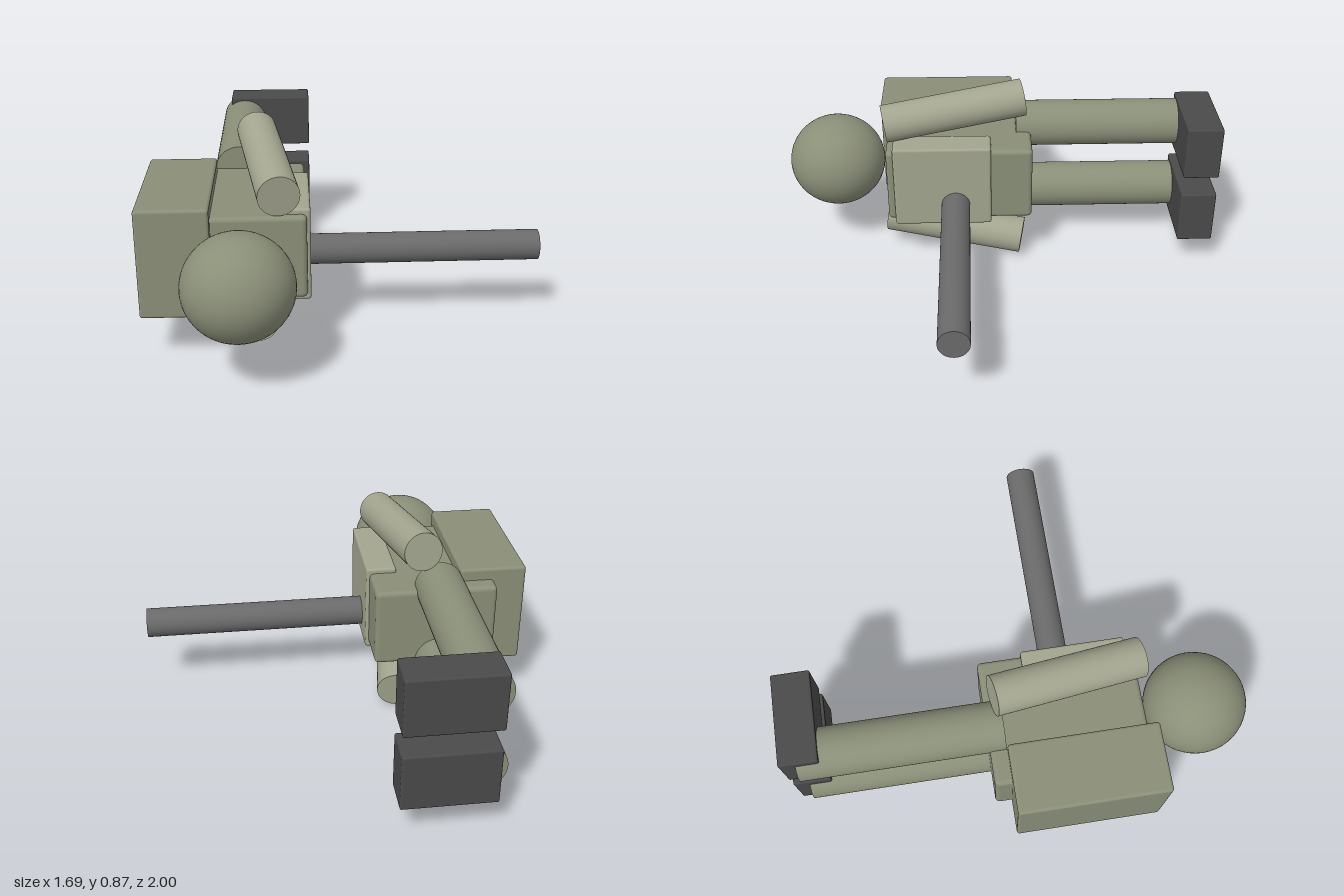
import * as THREE from 'three';
import { RoundedBoxGeometry } from 'three/addons/geometries/RoundedBoxGeometry.js';

const paint = (color) => new THREE.MeshStandardMaterial({ color });

export function createModel() {
  const model = new THREE.Group();
  const olive = paint(0x8a8f78);
  const pale = paint(0xa3a58f);
  const dark = paint(0x4a4a4a);
  const steel = paint(0x6a6a6a);

  const add = (name, geometry, material) => {
    const mesh = new THREE.Mesh(geometry, material);
    mesh.name = name;
    model.add(mesh);
    return mesh;
  };

  // Softly bevelled box given by its low and high corners
  const block = (name, lo, hi, bevel, material) => {
    const a = new THREE.Vector3(...lo);
    const b = new THREE.Vector3(...hi);
    const size = b.clone().sub(a);
    const mesh = add(name, new RoundedBoxGeometry(size.x, size.y, size.z, 3, bevel), material);
    mesh.position.addVectors(a, b).multiplyScalar(0.5);
  };

  // Round rod between two points
  const rod = (name, from, to, radius, material) => {
    const a = new THREE.Vector3(...from);
    const b = new THREE.Vector3(...to);
    const dir = b.clone().sub(a);
    const mesh = add(name, new THREE.CylinderGeometry(radius, radius, dir.length(), 48), material);
    mesh.position.addVectors(a, b).multiplyScalar(0.5);
    mesh.quaternion.setFromUnitVectors(new THREE.Vector3(0, 1, 0), dir.normalize());
  };

  // Head, slightly narrower from side to side
  const head = add('head', new THREE.SphereGeometry(1, 48, 32), olive);
  head.scale.set(0.223, 0.214, 0.224);
  head.position.set(-0.433, 0.441, 0.775);

  // Body, chest plate and backpack
  block('torso', [-0.703, 0.264, -0.145], [-0.165, 0.62, 0.525], 0.02, olive);
  block('chestPlate', [-0.285, 0.242, 0.045], [-0.15, 0.642, 0.493], 0.012, pale);
  block('backpack', [-0.845, 0.207, -0.072], [-0.55, 0.673, 0.567], 0.013, olive);

  // Legs and boots
  for (const [side, y] of [['upper', 0.614], ['lower', 0.271]]) {
    rod(side + 'Leg', [-0.452, y, -0.075], [-0.452, y, -0.935], 0.107, olive);
    const bootY = 0.441 + Math.sign(y - 0.441) * 0.17;
    block(side + 'Boot', [-0.518, bootY - 0.125, -1], [-0.127, bootY + 0.125, -0.837], 0.008, dark);
  }

  // Arms lying along the body
  rod('upperArm', [-0.275, 0.711, 0.533], [-0.372, 0.79, -0.105], 0.086, pale);
  rod('lowerArm', [-0.372, 0.17, 0.533], [-0.272, 0.091, -0.105], 0.086, pale);

  // Pole standing out from the chest
  rod('pole', [-0.18, 0.346, 0.21], [0.843, 0.346, 0.21], 0.066, steel);

  return model;
}
